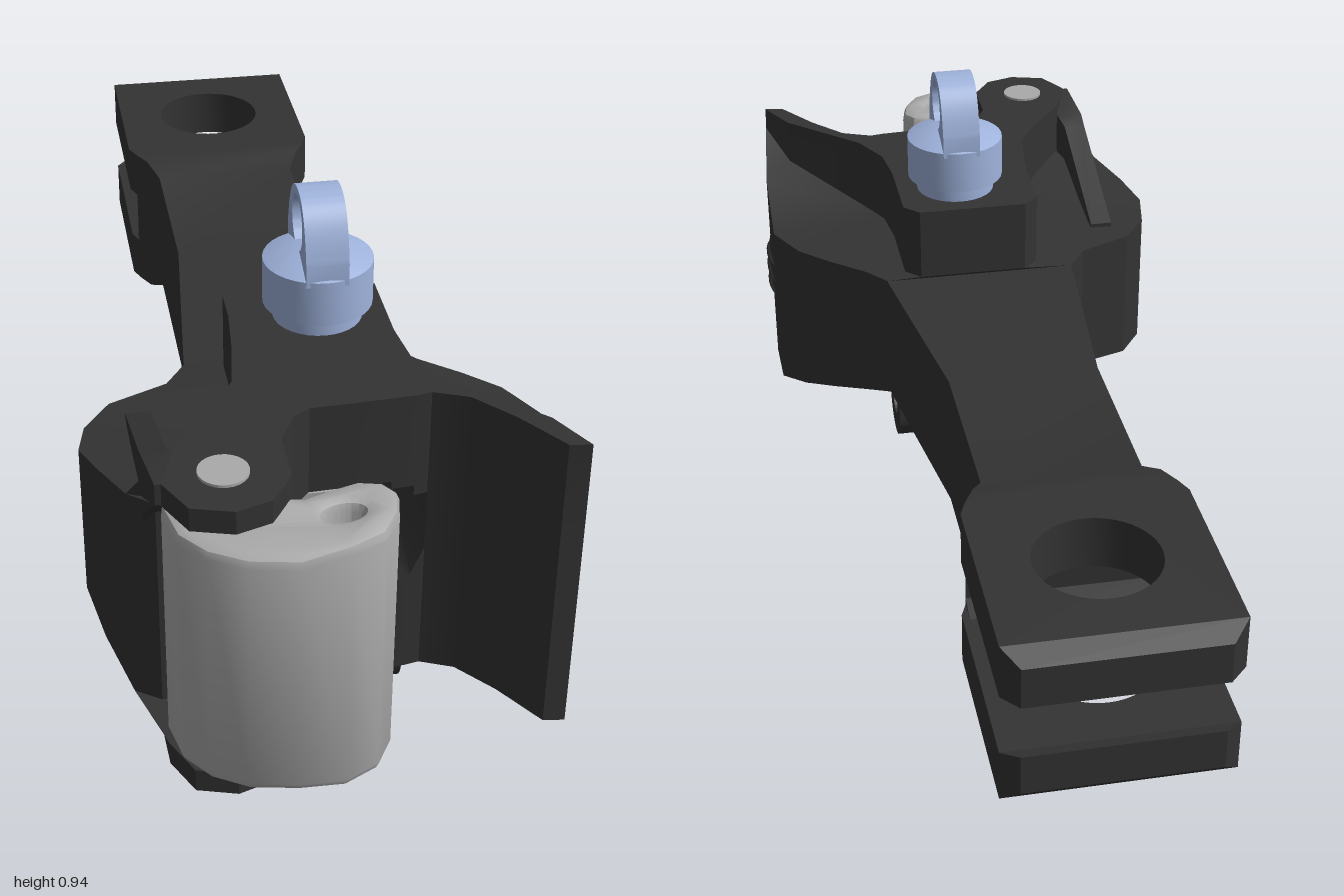
import * as THREE from 'three';
import { toCreasedNormals } from 'three/addons/utils/BufferGeometryUtils.js';

const paint = (color) => new THREE.MeshStandardMaterial({ color });
const V2 = (x, y) => new THREE.Vector2(x, y);

// Skin a stack of equal-length rings and cap both ends; flat() projects a cap to 2D
function loft(rings, flat) {
  const n = rings[0].length, index = [];
  for (let k = 0; k < rings.length - 1; k++) {
    for (let i = 0; i < n; i++) {
      const a = k * n + i, b = k * n + (i + 1) % n;
      index.push(a, a + n, b, b, a + n, b + n);
    }
  }
  [[0, false], [rings.length - 1, true]].forEach(([k, last]) => {
    const c = rings[k].map(flat), cw = THREE.ShapeUtils.isClockWise(c);
    for (const t of THREE.ShapeUtils.triangulateShape(c, [])) {
      const same = THREE.ShapeUtils.isClockWise(t.map((i) => c[i])) === cw;
      const [p, q, r] = t.map((i) => i + k * n);
      index.push(...(same !== last ? [p, q, r] : [p, r, q]));
    }
  });
  const g = new THREE.BufferGeometry();
  g.setAttribute('position', new THREE.Float32BufferAttribute(rings.flat(2), 3));
  g.setIndex(index);
  return toCreasedNormals(g, 0.5);
}

// Rectangular sections [z, x0, x1, y0, y1] skinned along z
const rail = (sections) => loft(
  sections.map(([z, x0, x1, y0, y1]) => [[x1, y1, z], [x1, y0, z], [x0, y0, z], [x0, y1, z]]),
  (p) => V2(p[0], p[1]));

// Plan outline [x, z] extruded between two heights
function plan(shape, y0, y1, bevel = 0) {
  const g = new THREE.ExtrudeGeometry(shape, {
    depth: y1 - y0 - 2 * bevel, bevelEnabled: bevel > 0, bevelThickness: bevel,
    bevelSize: bevel, bevelOffset: -bevel, bevelSegments: 2, curveSegments: 24,
  });
  return g.rotateX(-Math.PI / 2).translate(0, y0 + bevel, 0);
}
const planShape = (pts) => new THREE.Shape(pts.map(([x, z]) => V2(x, -z)));

// Symmetric side profile extruded across x, centred on (x, z)
function side(shape, width, x, z) {
  const g = new THREE.ExtrudeGeometry(shape, { depth: width, bevelEnabled: false, curveSegments: 20 });
  g.rotateY(Math.PI / 2).translate(x - width / 2, 0, z);
  return toCreasedNormals(g, 0.6);
}
const hole = (x, y, r) => new THREE.Path().absarc(x, y, r, 0, Math.PI * 2, true);

// Outer head points: waist x, z, low y, high y, then top x, z and bottom x, z
const RIGHT = [
  [0.19, 0.26, 0.27, 0.54, 0.12, 0.255, 0.12, 0.46],
  [0.23, 0.31, 0.25, 0.54, 0.15, 0.285, 0.15, 0.49],
  [0.30, 0.37, 0.23, 0.54, 0.15, 0.45, 0.22, 0.55],
  [0.36, 0.43, 0.21, 0.54, 0.16, 0.54, 0.29, 0.60],
  [0.405, 0.52, 0.18, 0.54, 0.20, 0.62, 0.35, 0.66],
  [0.405, 0.68, 0.14, 0.595, 0.345, 0.76, 0.39, 0.73],
  [0.39, 0.84, 0.12, 0.68, 0.388, 0.845, 0.388, 0.845],
];
const LEFT = [
  [-0.35, 0.70, 0.15, 0.58, -0.27, 0.74, -0.31, 0.72],
  [-0.39, 0.60, 0.20, 0.565, -0.20, 0.65, -0.30, 0.66],
  [-0.415, 0.52, 0.25, 0.55, -0.155, 0.57, -0.28, 0.60],
  [-0.40, 0.44, 0.25, 0.54, -0.14, 0.47, -0.24, 0.56],
  [-0.35, 0.37, 0.25, 0.54, -0.13, 0.36, -0.18, 0.53],
  [-0.24, 0.32, 0.26, 0.54, -0.13, 0.285, -0.14, 0.49],
  [-0.20, 0.26, 0.27, 0.54, -0.10, 0.255, -0.10, 0.46],
];
const MOUTH = [[0.35, 0.84], [0.29, 0.75], [0.23, 0.68], [0.17, 0.655]];
const POCKET = [[0.145, 0.66], [0.105, 0.663], [0.03, 0.667], [-0.04, 0.67]];
const CHEEK = [[-0.07, 0.69]];
const LUG = [[-0.1, 0.75], [-0.1, 0.85], [-0.14, 0.91], [-0.2, 0.93], [-0.27, 0.91], [-0.305, 0.84]];

function headGeometry() {
  const clamp = THREE.MathUtils.clamp;
  // end outlines; the underside rises toward the shank
  const cap = (y, c, rise) => [
    ...RIGHT.map((p) => [p[c], y + rise * Math.max(0, 0.62 - p[c + 1]), p[c + 1]]),
    ...[...MOUTH, ...POCKET, ...CHEEK, ...LUG].map(([x, z]) => [x, y, z]),
    ...LEFT.map((p) => [p[c], y + rise * Math.max(0, 0.62 - p[c + 1]), p[c + 1]])];
  // lugs reach over the jaw at the ends; between them the wall is set back
  const ring = (y, lugOut, pushes = [0, 0, 0, 0]) => [
    ...RIGHT.map(([x, z, lo, hi]) => [x, clamp(y, lo, hi), z]),
    ...MOUTH.map(([x, z]) => [x, y, z]),
    ...POCKET.map(([x, z], i) => [x, y, z - 0.15 * pushes[i]]),
    ...CHEEK.map(([x, z]) => [x, y, z]),
    ...LUG.map(([x, z]) => [x, y, lugOut ? z : Math.min(z, 0.73)]),
    ...LEFT.map(([x, z, lo, hi]) => [x, clamp(y, lo, hi), z])];
  // shelf around the foot of the raised top
  const foot = (p) => [p[4], p[3] + 0.006, p[5]];
  const shelf = ring(0.652, true);
  RIGHT.forEach((p, i) => { shelf[i] = foot(p); });
  LEFT.forEach((p, i) => { shelf[shelf.length - LEFT.length + i] = foot(p); });
  return loft([
    cap(0.11, 6, 0.25), ring(0.155, true), ring(0.155, false),
    ring(0.28, false), ring(0.295, false, [0, 0, 1, 1]), ring(0.32, false, [0, 1, 1, 1]),
    ring(0.37, false, [1, 1, 1, 1]), ring(0.44, false, [1, 1, 1, 1]),
    ring(0.49, false, [0, 1, 1, 1]), ring(0.51, false, [0, 0, 1, 1]), ring(0.525, false),
    ring(0.652, false), ring(0.652, true), shelf, cap(0.695, 4, 0),
  ], (p) => V2(p[0], p[2]));
}

// Jaw with a slotted nose; the pivot end is slightly shorter than the nose
function knuckleGeometry() {
  const jaw = planShape([
    [-0.305, 0.83], [-0.29, 0.9], [-0.25, 0.95], [-0.19, 0.985], [-0.11, 1], [-0.03, 0.99], [0.03, 0.96],
    [0.06, 0.91], [0.07, 0.86], [0.05, 0.83], [0.01, 0.82], [-0.04, 0.835], [-0.08, 0.85], [-0.105, 0.83],
    [-0.11, 0.76], [-0.16, 0.735], [-0.25, 0.735], [-0.295, 0.77],
  ]);
  jaw.holes.push(new THREE.Path().absellipse(-0.027, -0.9, 0.034, 0.019, 0, Math.PI * 2, true, 0.2));
  const g = plan(jaw, 0.155, 0.655, 0.018), p = g.attributes.position;
  for (let i = 0; i < p.count; i++) {
    if (p.getX(i) < -0.09) p.setY(i, 0.405 + (p.getY(i) - 0.405) * 0.95);
  }
  return toCreasedNormals(g, 0.6);
}

export function createModel() {
  const model = new THREE.Group();
  const iron = paint(0x333333), steel = paint(0xaaaaaa), blue = paint(0x9fb3dc);
  const add = (name, geometry, material, x = 0, y = 0, z = 0) => {
    const m = new THREE.Mesh(geometry, material);
    m.name = name;
    m.position.set(x, y, z);
    model.add(m);
  };

  // Shank with its flared ends
  add('shank', rail([
    [-0.59, -0.203, 0.173, 0.247, 0.56], [-0.55, -0.182, 0.152, 0.247, 0.56],
    [-0.505, -0.16, 0.13, 0.27, 0.54], [-0.16, -0.16, 0.13, 0.27, 0.54],
    [0.25, -0.2, 0.19, 0.27, 0.54], [0.42, -0.2, 0.19, 0.27, 0.54],
  ]), iron);

  // Tail fork: two drilled tines with chamfered tips and root fillets
  [[0.247, 0.345, 0.275, 0.352], [0.46, 0.56, 0.453, 0.53]].forEach(([y0, y1, t0, t1], top) => {
    const tine = planShape([[-0.203, -0.59], [0.173, -0.59], [0.185, -0.62], [0.185, -0.975],
      [-0.215, -0.975], [-0.215, -0.62]]);
    tine.holes.push(hole(-0.015, 0.78, 0.11));
    add('forkTine', toCreasedNormals(plan(tine, y0, y1), 0.6), iron);
    add('forkTip', rail([[-1, -0.185, 0.155, t0, t1], [-0.975, -0.215, 0.185, y0, y1]]), iron);
    const root = top ? [0.447, 0.462] : [0.343, 0.358], edge = top ? [0.46, 0.462] : [0.343, 0.345];
    add('forkRoot', rail([[-0.635, -0.203, 0.173, ...edge], [-0.588, -0.203, 0.173, ...root]]), iron);
  });

  // Coupler head with guard arm, lugs and lock pocket
  add('head', headGeometry(), iron);
  add('lugRib', rail([
    [0.42, -0.325, -0.28, 0.5, 0.55], [0.7, -0.325, -0.28, 0.5, 0.66],
    [0.73, -0.325, -0.27, 0.56, 0.675], [0.84, -0.315, -0.27, 0.655, 0.694],
  ]), iron);

  // Ribbed oval on the guard arm
  add('guardBoss', new THREE.SphereGeometry(1, 24, 16).scale(0.012, 0.08, 0.09), iron, 0.4, 0.405, 0.625);
  for (const [dy, r] of [[-0.035, 0.07], [0, 0.085], [0.035, 0.07]]) {
    add('guardFin', new THREE.SphereGeometry(1, 16, 8).scale(0.018, 0.01, r), iron, 0.4, 0.405 + dy, 0.625);
  }

  // Knuckle and its pivot pin
  add('knuckle', knuckleGeometry(), steel);
  add('knucklePin', new THREE.CylinderGeometry(0.042, 0.042, 0.593, 24), steel, -0.205, 0.4035, 0.825);

  // Lock block and its lifting link inside the pocket
  add('lock', new THREE.BoxGeometry(0.12, 0.1, 0.13), steel, 0.01, 0.45, 0.575);
  add('lockLink', new THREE.BoxGeometry(0.05, 0.09, 0.1), blue, 0.065, 0.455, 0.555);

  // Hanging eye under the head
  const eye = new THREE.Shape([V2(0.08, 0.19), V2(-0.08, 0.19)]);
  eye.absarc(0, 0.08, 0.08, Math.PI, Math.PI * 2, false);
  eye.holes.push(hole(0, 0.085, 0.035));
  add('lowerEye', side(eye, 0.04, 0.13, 0.53), iron);

  // Lifter: neck, collar, shoulder and arched eye
  const collar = [[0, 0.69], [0.08, 0.69], [0.08, 0.725], [0.098, 0.725], [0.098, 0.81], [0.04, 0.835], [0, 0.835]];
  const turned = new THREE.LatheGeometry(collar.map(([r, y]) => V2(r, y)), 32);
  add('lifterCollar', toCreasedNormals(turned, 0.5), blue, 0.028, 0, 0.37);
  const arch = new THREE.Shape([V2(-0.093, 0.8), V2(0.093, 0.8), V2(0.092, 0.84)]);
  arch.bezierCurveTo(0.075, 0.91, 0.05, 0.945, 0, 0.945);
  arch.bezierCurveTo(-0.05, 0.945, -0.075, 0.91, -0.092, 0.84);
  arch.holes.push(hole(0, 0.88, 0.05));
  add('lifterEye', side(arch, 0.075, 0.028, 0.37), blue);

  return model;
}
